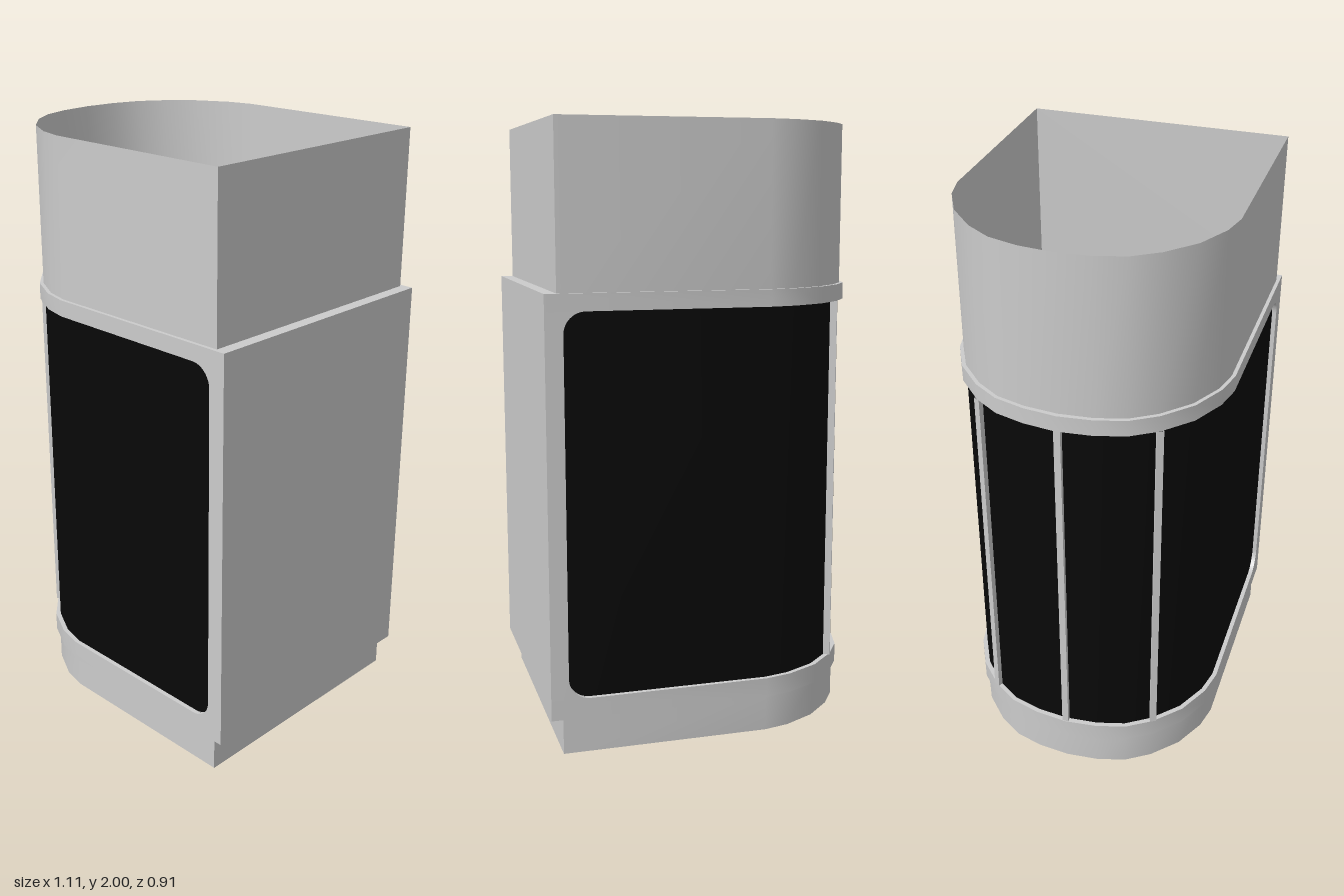
import * as THREE from 'three';
import { toCreasedNormals } from 'three/addons/utils/BufferGeometryUtils.js';

const grey = new THREE.MeshStandardMaterial({ color: 0xcccccc, side: THREE.DoubleSide });
const black = new THREE.MeshStandardMaterial({ color: 0x080808, side: THREE.DoubleSide });
const CREASE = 0.6;

// Heights: frame bottom/top, window bottom/top
const F0 = 0.12, F1 = 1.475, W0 = 0.185, W1 = 1.42;

// Half of the rounded end, from the straight side to the nose, as [x, z]
const OUTER = [[-0.17, 0.455], [-0.26, 0.435], [-0.37, 0.38], [-0.46, 0.295], [-0.515, 0.21], [-0.543, 0.11], [-0.555, 0]];
const INNER = [[-0.17, 0.443], [-0.256, 0.424], [-0.362, 0.37], [-0.449, 0.288], [-0.503, 0.206], [-0.53, 0.109], [-0.54, 0]];

// Full D outline: flat back at x = right, round nose at -x
function dOutline(half, right) {
  const z = half[0][1];
  const mirrored = half.slice(0, -1).reverse().map(([x, zz]) => [x, -zz]);
  return [[right, z], ...half, ...mirrored, [right, -z]];
}

const toVectors = (pts) => pts.map(([a, b]) => new THREE.Vector2(a, b));

// Thin wall: a polyline swept from lo to hi along 'y' or 'z'
function sheet(pts, lo, hi, axis) {
  const pos = [], index = [];
  pts.forEach(([a, b], i) => {
    for (const h of [lo, hi]) pos.push(...(axis === 'y' ? [a, h, b] : [a, b, h]));
    if (i) index.push(2 * i - 2, 2 * i, 2 * i - 1, 2 * i, 2 * i + 1, 2 * i - 1);
  });
  const g = new THREE.BufferGeometry();
  g.setAttribute('position', new THREE.Float32BufferAttribute(pos, 3));
  g.setIndex(index);
  return toCreasedNormals(g, CREASE);
}

// Flat horizontal plate from an [x, z] outline
function plate(pts, y) {
  return new THREE.ShapeGeometry(new THREE.Shape(toVectors(pts))).rotateX(-Math.PI / 2).translate(0, y, 0);
}

export function createModel() {
  const model = new THREE.Group();
  const add = (name, geometry, material = grey, parent = model) => {
    const mesh = new THREE.Mesh(geometry, material);
    mesh.name = name;
    parent.add(mesh);
    return mesh;
  };

  const inner = dOutline(INNER, 0.515);
  const closed = [...inner, inner[0]];

  // Open sleeve above and skirt below the cabin
  add('upperSleeve', sheet(closed, F1, 2, 'y'));
  add('lowerSkirt', sheet(closed, 0, F0, 'y'));

  // Frame bands above and below the windows
  const frame = new THREE.Group();
  frame.name = 'windowFrame';
  model.add(frame);
  const ring = new THREE.Shape(toVectors(dOutline(OUTER, 0.555)));
  ring.holes.push(new THREE.Path(toVectors(inner)));
  for (const [name, y0, y1] of [['lowerBand', F0, W0], ['upperBand', W1, F1]]) {
    const g = new THREE.ExtrudeGeometry(ring, { depth: y1 - y0, bevelEnabled: false });
    g.rotateX(-Math.PI / 2).translate(0, y0, 0);
    add(name, toCreasedNormals(g, CREASE), grey, frame);
  }

  // Solid rear panel
  add('rearPanel', new THREE.BoxGeometry(0.04, W1 - W0, 0.91).translate(0.535, (W0 + W1) / 2, 0), grey, frame);

  // Side posts with rounded window corners
  const R = 0.07, E = 0.497;
  const post = new THREE.Shape();
  post.moveTo(0.515, W0);
  post.lineTo(0.515, W1);
  post.lineTo(E - R, W1);
  post.absarc(E - R, W1 - R, R, Math.PI / 2, 0, true);
  post.lineTo(E, W0 + R);
  post.absarc(E - R, W0 + R, R, 0, -Math.PI / 2, true);
  for (const z of [0.443, -0.455]) {
    const g = new THREE.ExtrudeGeometry(post, { depth: 0.012, bevelEnabled: false, curveSegments: 8 });
    add('sidePost', g.translate(0, 0, z), grey, frame);
  }

  // Wraparound dark glass, just inside the frame
  const glass = dOutline(INNER, E).map(([x, z]) => [x < E ? x + 0.003 : x, z * 0.993]);
  add('glass', sheet(glass, W0, W1, 'y'), black);

  // Hollow mullions: p on the wall line, n outward, d inward depth
  const mullions = [
    { p: [-0.449, 0.292], n: [-0.9, 0.436], d: 0.028 },
    { p: [-0.54, 0], n: [-1, 0], d: 0.035 },
    { p: [-0.449, -0.292], n: [-0.9, -0.436], d: 0.028 },
  ];
  const across = ({ p, n }, depth, side) => [
    p[0] - n[0] * depth + n[1] * side * 0.011,
    p[1] - n[1] * depth - n[0] * side * 0.011,
  ];
  for (const m of mullions) {
    const quad = [across(m, -0.012, 1), across(m, m.d, 1), across(m, m.d, -1), across(m, -0.012, -1)];
    add('mullion', sheet([...quad, quad[0]], W0, W1, 'y'));
  }

  // Floor and ceiling, notched where the mullions pass
  const notch = (m) => [across(m, 0, 1), across(m, m.d, 1), across(m, m.d, -1), across(m, 0, -1)];
  const slab = dOutline(INNER, E - R);
  slab.splice(10, 1, ...notch(mullions[2]));
  slab.splice(7, 1, ...notch(mullions[1]));
  slab.splice(4, 1, ...notch(mullions[0]));
  add('floor', plate(slab, W0));
  add('ceiling', plate(slab, W1));

  // Cabin rear wall curving into floor and ceiling
  const profile = [];
  for (const [cy, from] of [[W1 - R, Math.PI / 2], [W0 + R, 0]]) {
    for (let i = 0; i <= 8; i++) {
      const a = from - (i / 8) * (Math.PI / 2);
      profile.push([E - R + R * Math.cos(a), cy + R * Math.sin(a)]);
    }
  }
  add('cabinRearWall', sheet(profile, -0.443, 0.443, 'z'));

  // Small web joining the rear wall to the frame underside
  add('rearWeb', plate([[0.515, -0.28], [0.515, 0.28], [E, 0.2], [E, -0.2]], F0));

  return model;
}
